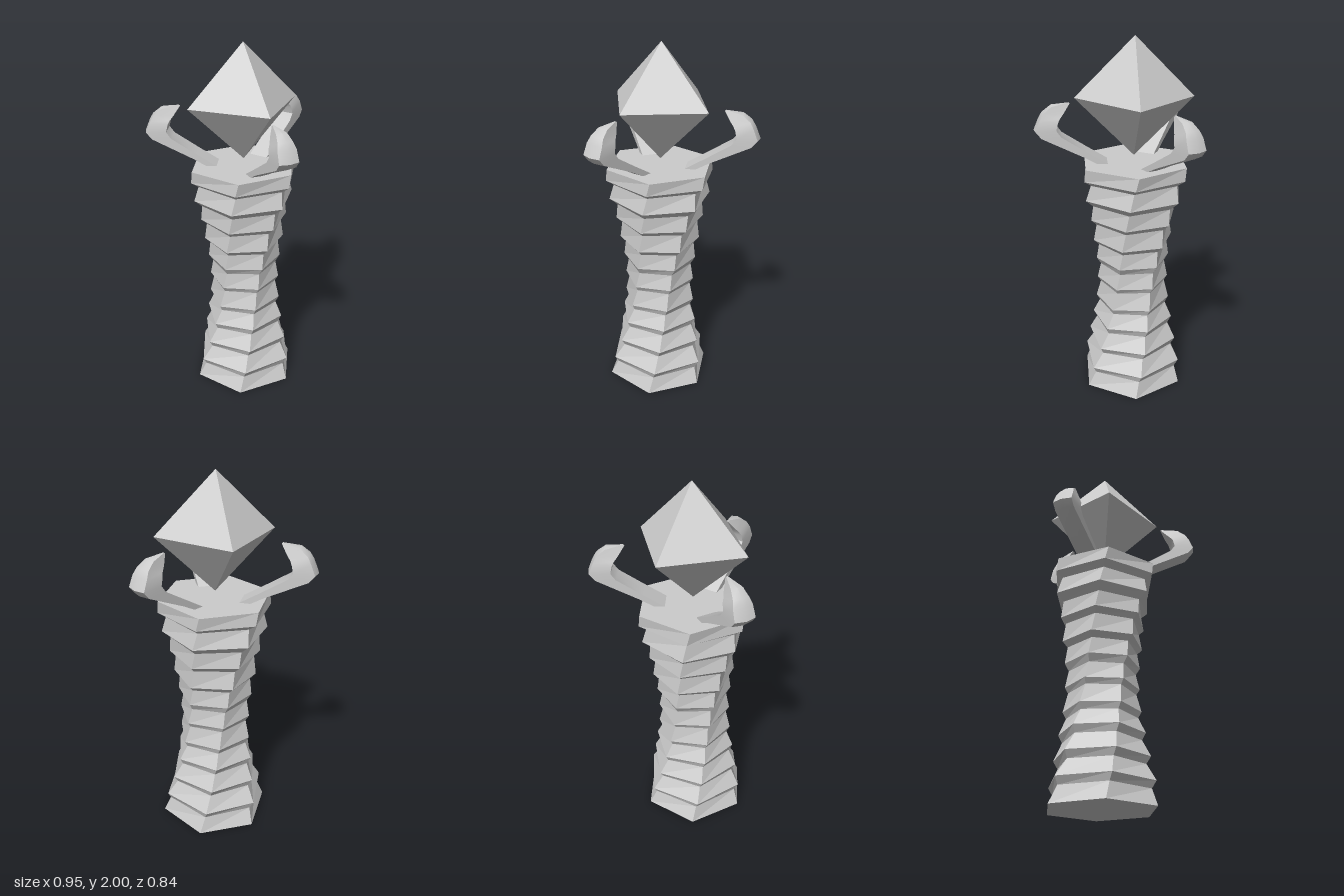
import * as THREE from 'three';
import { toCreasedNormals } from 'three/addons/utils/BufferGeometryUtils.js';

const AXIS_Z = -0.11; // the tower's axis sits behind the origin
const HEIGHT = 1.34;

// Joins rings of equal point count (counter-clockwise seen from the far end), capping both ends
function loft(rings) {
  const n = rings[0].length, last = (rings.length - 1) * n, index = [];
  for (let i = 0; i < rings.length - 1; i++) {
    for (let j = 0; j < n; j++) {
      const a = i * n + j, b = i * n + (j + 1) % n;
      index.push(a, b, b + n, a, b + n, a + n);
    }
  }
  for (let j = 1; j < n - 1; j++) {
    index.push(0, j + 1, j, last, last + j, last + j + 1);
  }
  const geometry = new THREE.BufferGeometry();
  geometry.setAttribute('position', new THREE.Float32BufferAttribute(rings.flat(2), 3));
  geometry.setIndex(index);
  geometry.computeVertexNormals();
  return geometry;
}

// Hexagonal tower of stacked tiers, twisted by a sixth of a turn
function towerGeometry() {
  const profile = [ // radius, height
    [0.305, 0], [0.268, 0.09], [0.29, 0.13], [0.235, 0.22], [0.258, 0.26],
    [0.21, 0.35], [0.23, 0.39], [0.19, 0.475], [0.208, 0.51], [0.182, 0.61],
    [0.2, 0.64], [0.182, 0.73], [0.206, 0.77], [0.195, 0.86], [0.225, 0.89],
    [0.213, 0.99], [0.245, 1.02], [0.239, 1.11], [0.284, 1.15], [0.262, 1.24],
    [0.305, 1.27], [0.305, HEIGHT],
  ];
  return loft(profile.map(([r, y]) => {
    const twist = (y / HEIGHT) * Math.PI / 3;
    return Array.from({ length: 6 }, (_, j) => {
      const t = Math.PI / 6 + j * Math.PI / 3 + twist;
      return [r * Math.sin(t), y, r * Math.cos(t)];
    });
  }));
}

// Curled claw reaching outward along +z, with a slight ridge on its outer side
function clawGeometry() {
  const stations = [ // outer z, outer y, inner z, inner y, half width
    [0.17, 1.32, 0.11, 1.32, 0.055],
    [0.27, 1.375, 0.25, 1.405, 0.055],
    [0.5, 1.483, 0.385, 1.49, 0.055],
    [0.53, 1.52, 0.41, 1.525, 0.055],
    [0.505, 1.58, 0.4, 1.565, 0.052],
    [0.485, 1.615, 0.39, 1.585, 0.042],
    [0.44, 1.65, 0.37, 1.61, 0.03],
    [0.345, 1.662, 0.338, 1.657, 0.004],
  ];
  const rings = stations.map(([zo, yo, zi, yi, w]) => {
    const z = zo + (zi - zo) * 0.1, y = yo + (yi - yo) * 0.1;
    return [[-w, y, z], [0, yo, zo], [w, y, z], [w, yi, zi], [0, yi, zi], [-w, yi, zi]];
  });
  return toCreasedNormals(loft(rings), 0.6);
}

export function createModel() {
  const model = new THREE.Group();
  model.name = 'crystalTower';
  const flat = new THREE.MeshStandardMaterial({ color: 0xcccccc, flatShading: true });
  const smooth = new THREE.MeshStandardMaterial({ color: 0xcccccc });

  const add = (name, geometry, material, y = 0) => {
    const mesh = new THREE.Mesh(geometry, material);
    mesh.name = name;
    mesh.position.set(0, y, AXIS_Z);
    model.add(mesh);
    return mesh;
  };

  add('twistedTower', towerGeometry(), flat);
  add('crystal', new THREE.OctahedronGeometry(0.315), flat, 1.685);

  // Three claws spaced evenly around the crystal
  const claw = clawGeometry();
  ['frontClaw', 'backLeftClaw', 'backRightClaw'].forEach((name, i) => {
    add(name, claw, smooth).rotation.y = i * Math.PI * 2 / 3;
  });
  return model;
}
